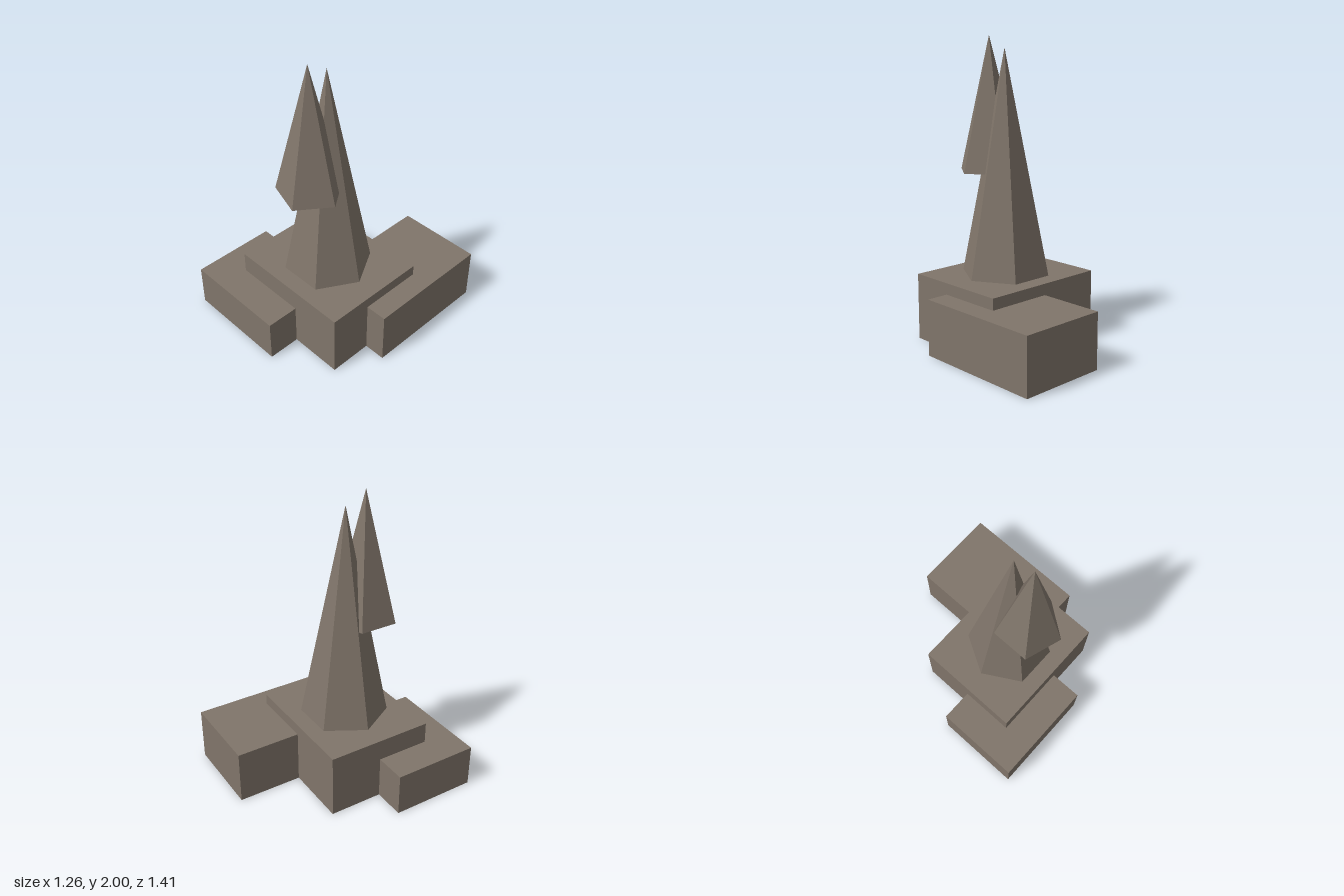
import * as THREE from 'three';

export function createModel() {
  const model = new THREE.Group();
  const stone = new THREE.MeshStandardMaterial({ color: 0x80756a, flatShading: true });

  const add = (name, geometry, x, y, z) => {
    const mesh = new THREE.Mesh(geometry, stone);
    mesh.name = name;
    mesh.position.set(x, y, z);
    model.add(mesh);
  };

  // Block standing on the ground, given by its x and z limits
  const block = (name, x0, x1, z0, z1, h) =>
    add(name, new THREE.BoxGeometry(x1 - x0, h, z1 - z0), (x0 + x1) / 2, h / 2, (z0 + z1) / 2);

  // Faceted spire with one base corner pointing to +x
  const spire = (name, sides, radius, y0, y1, x, z) =>
    add(name, new THREE.ConeGeometry(radius, y1 - y0, sides, 1, false, Math.PI / 2), x, (y0 + y1) / 2, z);

  // Stepped base
  block('mainBaseBlock', -0.408, 0.479, -0.26, 0.48, 0.445);
  block('frontBaseBlock', -0.63, 0.108, 0.11, 0.702, 0.296);
  block('backBaseBlock', 0.036, 0.627, -0.704, 0.182, 0.37);

  // Six-sided main spire and the overlapping five-sided front spire
  spire('mainSpire', 6, 0.296, 0.445, 1.92, 0.035, 0.11);
  spire('frontSpire', 5, 0.222, 1.115, 2.0, 0.035, 0.258);

  return model;
}
